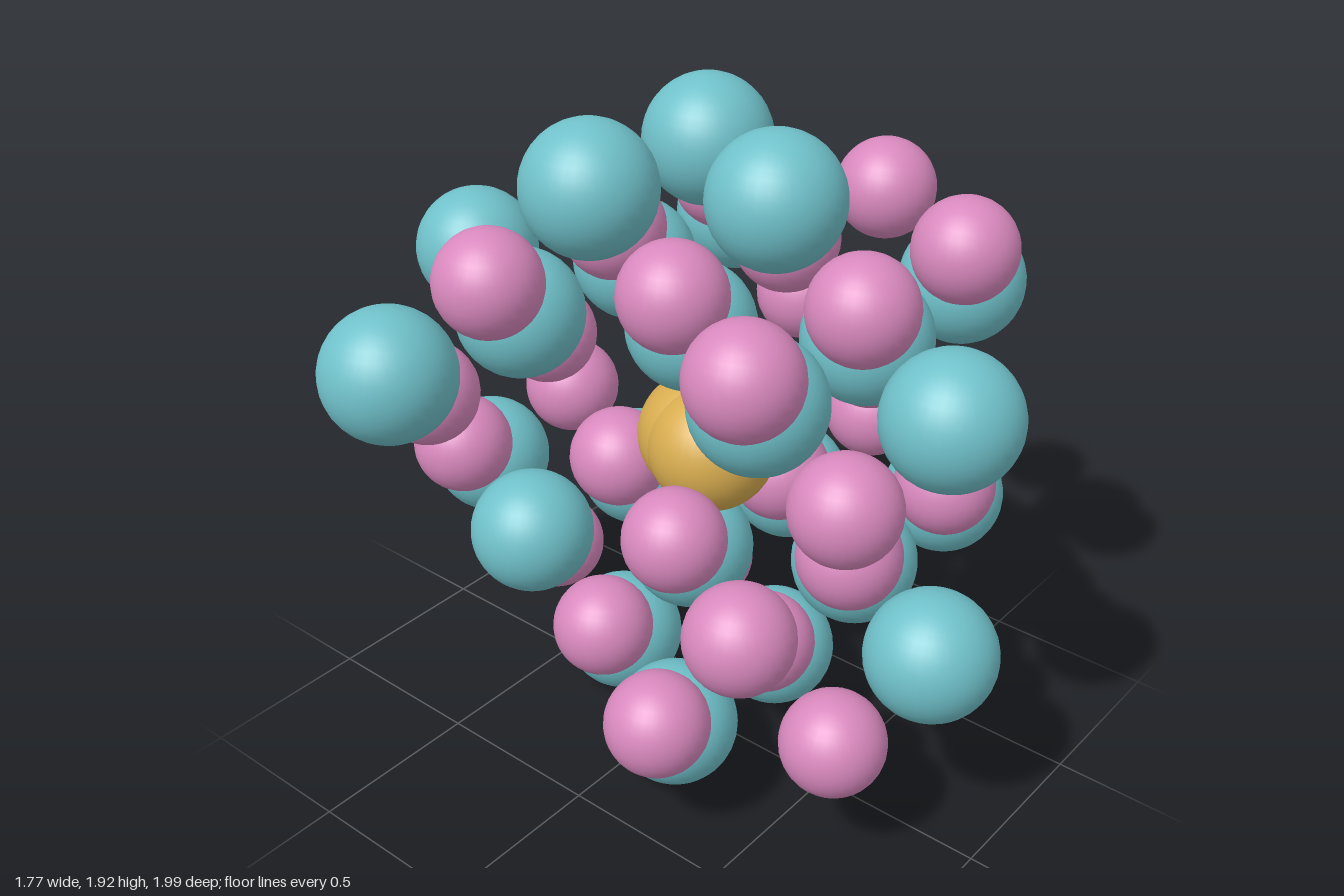
import * as THREE from 'three';

const HX = 0.2355; // half the spacing inside a row
const HZ = 0.1357; // a third of the spacing between rows

export function createModel() {
  const model = new THREE.Group();
  model.name = 'layeredCluster';

  const teal = new THREE.MeshStandardMaterial({ color: 0x70c1ca });
  const pink = new THREE.MeshStandardMaterial({ color: 0xd989be });
  const gold = new THREE.MeshStandardMaterial({ color: 0xd8ad50 });
  teal.name = 'teal';
  pink.name = 'pink';
  gold.name = 'gold';

  const large = new THREE.SphereGeometry(0.18, 36, 20);
  const small = new THREE.SphereGeometry(0.145, 32, 18);

  // One flat layer of spheres; each row is [z step, x steps...]
  function layer(name, geometry, material, y, rows) {
    const group = new THREE.Group();
    group.name = name;
    for (const [kz, ...xs] of rows) {
      for (const kx of xs) {
        const ball = new THREE.Mesh(geometry, material);
        ball.name = name + 'Sphere';
        ball.position.set(kx * HX, y, kz * HZ + 0.005);
        group.add(ball);
      }
    }
    model.add(group);
  }

  // Upper slab
  layer('topLargeLayer', large, teal, 1.745, [[2, 0], [-1, -1, 1]]);
  layer('upperOuterSmallLayer', small, pink, 1.53,
    [[4, -2, 0, 2], [1, -1, 1, 3], [-2, -2, 0, 2]]);
  layer('upperLargeLayer', large, teal, 1.32,
    [[6, 0], [3, -1, 1, 3], [0, 0], [-3, -3, -1, 1, 3], [-6, 0]]);
  layer('upperInnerSmallLayer', small, pink, 1.125,
    [[5, -1, 1], [2, 2], [-1, 1, 3], [-4, -2, 0, 2]]);

  // Lower slab
  layer('lowerInnerSmallLayer', small, pink, 0.81,
    [[4, -2, 0, 2], [1, -1, 1, 3], [-2, 0, 2], [-5, -1, 1]]);
  layer('lowerLargeLayer', large, teal, 0.615,
    [[6, 0], [3, 1, 3], [0, 0, 2], [-3, -1, 1, 3], [-6, 0]]);
  layer('lowerOuterSmallLayer', small, pink, 0.4,
    [[5, -1, 1], [2, -2, 0, 2], [-1, -1, 1], [-4, 0]]);
  layer('bottomLargeLayer', large, teal, 0.185, [[1, -1, 1], [-2, 0]]);

  // Overlapping pair between the slabs
  for (const [x, z] of [[0.004, 0.077], [0.041, 0.01]]) {
    const core = new THREE.Mesh(large, gold);
    core.name = 'coreSphere';
    core.position.set(x, 0.97, z);
    model.add(core);
  }

  return model;
}
